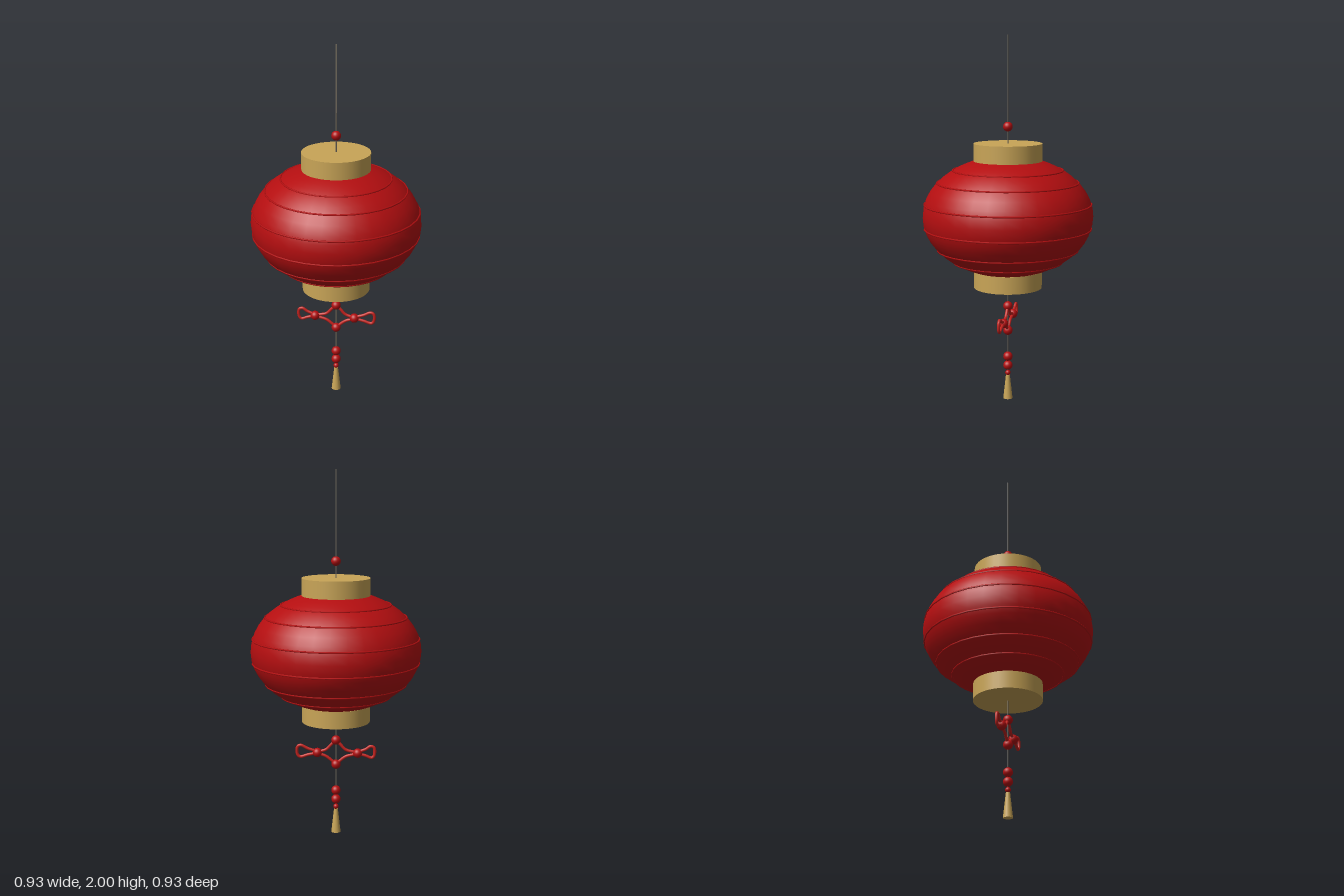
import * as THREE from 'three';

const material = (name, color, extra = {}) => {
  const m = new THREE.MeshStandardMaterial({ color, ...extra });
  m.name = name;
  return m;
};

export function createModel() {
  const red = material('lantern red', 0xb40e10);
  const cordRed = material('cord red', 0xc4221e);
  const gold = material('gold', 0xc9a557);
  const grey = material('string grey', 0x6e675a);

  const lantern = new THREE.Group();
  lantern.name = 'lantern';
  const add = (name, geometry, mat, x = 0, y = 0, z = 0) => {
    const mesh = new THREE.Mesh(geometry, mat);
    mesh.name = name;
    mesh.position.set(x, y, z);
    lantern.add(mesh);
    return mesh;
  };

  // Paper body: a squat ellipsoid cut flat at both ends
  const midY = 1.03, half = 0.3;
  const radiusAt = (dy) => 0.463 * Math.sqrt(1 - (dy / 0.327) ** 2);
  const profile = [];
  for (let i = 0; i <= 20; i++) {
    const dy = half * Math.sin((i / 20 - 0.5) * Math.PI);
    profile.push(new THREE.Vector2(radiusAt(dy), dy));
  }
  add('body', new THREE.LatheGeometry(profile, 32), red, 0, midY);

  // Hoops around the body
  for (const dy of [0.25, 0.183, 0.066]) {
    for (const side of [-1, 1]) {
      const hoop = new THREE.TorusGeometry(radiusAt(dy), 0.005, 6, 32);
      add('hoop', hoop.rotateX(Math.PI / 2), red, 0, midY + side * dy);
    }
  }

  // Gold end caps
  for (const side of [-1, 1]) {
    add('endCap', new THREE.CylinderGeometry(0.186, 0.186, 0.095, 40), gold, 0, midY + side * 0.3475);
  }

  // Hanging string, above and below the body
  add('upperString', new THREE.BoxGeometry(0.007, 0.58, 0.003), grey, 0, 1.71);
  add('lowerString', new THREE.BoxGeometry(0.007, 0.52, 0.003), grey, 0, 0.38);

  // Beads: x, y, radius
  const beads = [
    [0, 1.515, 0.026], [0, 0.528, 0.026], [0, 0.39, 0.026],
    [-0.12, 0.455, 0.026], [0.103, 0.455, 0.026],
    [0, 0.241, 0.026], [0, 0.19, 0.026], [0, 0.147, 0.015],
  ];
  for (const [x, y, r] of beads) add('bead', new THREE.SphereGeometry(r, 20, 14), red, x, y);

  // Knotted cord: a curved diamond with a loop at each side
  const cord = (name, points, closed) => {
    const path = new THREE.CatmullRomCurve3(points.map(([x, y]) => new THREE.Vector3(x, y, 0)), closed);
    add(name, new THREE.TubeGeometry(path, 40, 0.0085, 8, closed), cordRed);
  };
  for (const [side, knot, tip] of [[-1, 0.12, 0.21], [1, 0.103, 0.212]]) {
    const at = (x, y) => [side * x, y];
    cord('diamondCord', [
      at(0, 0.528), at(0.025, 0.503), at(0.055, 0.473), at(knot, 0.455),
      at(0.055, 0.435), at(0.025, 0.413), at(0, 0.39),
    ], false);
    cord('loopCord', [
      at(knot, 0.457), at((knot + tip) / 2, 0.478), at(tip - 0.018, 0.495), at(tip, 0.488),
      at(tip + 0.002, 0.445), at(tip - 0.012, 0.43), at((knot + tip) / 2, 0.441),
    ], true);
  }

  // Tassel
  add('tassel', new THREE.CylinderGeometry(0.011, 0.026, 0.134, 20), gold, 0, 0.067);

  return lantern;
}
